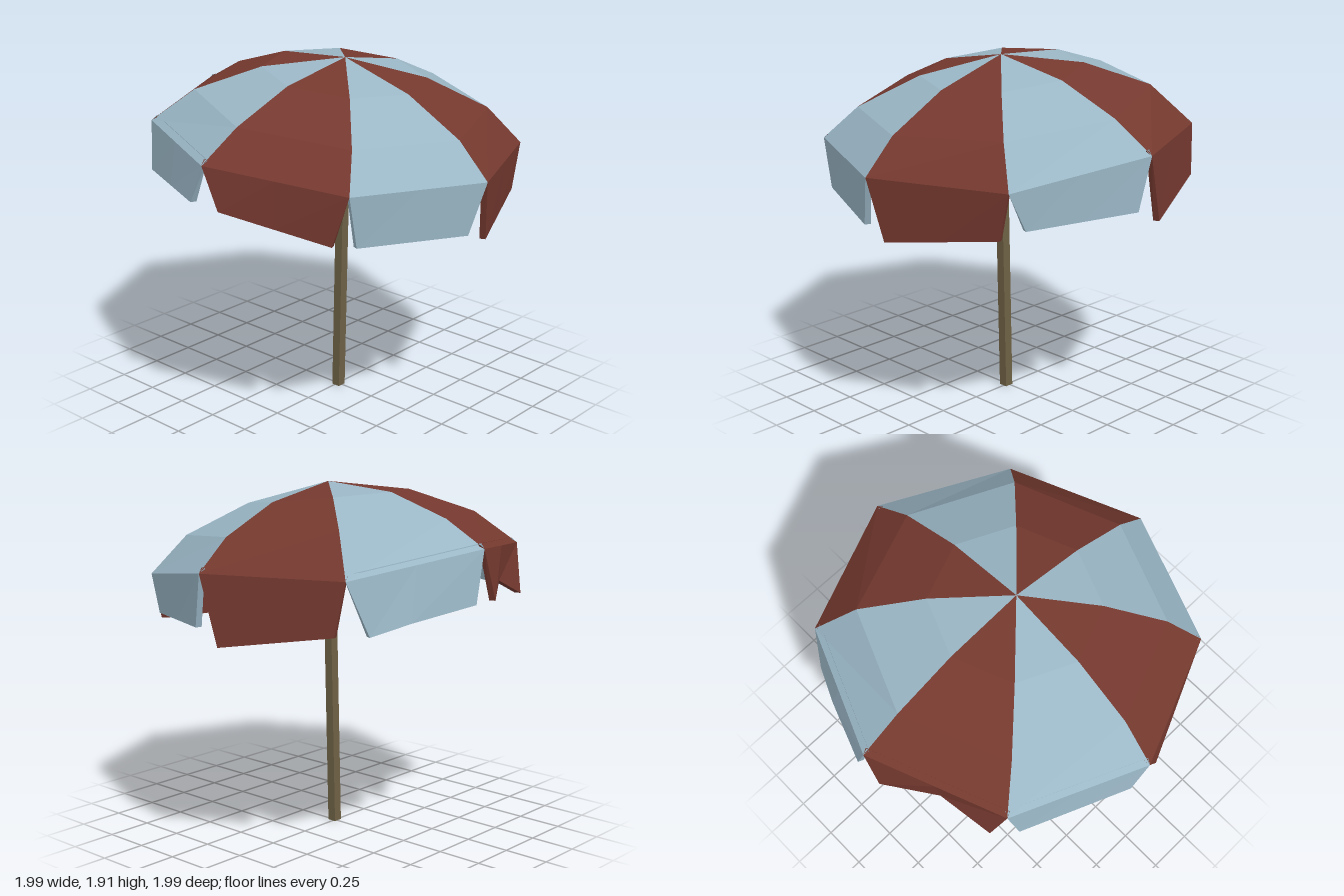
import * as THREE from 'three';

const V = (x, y, z) => new THREE.Vector3(x, y, z);

// Flat-shaded geometry from a list of quads, corners counter-clockwise from outside
function quads(list) {
  const pos = [];
  for (const [a, b, c, d] of list)
    for (const p of [a, b, c, a, c, d]) pos.push(p.x, p.y, p.z);
  const g = new THREE.BufferGeometry();
  g.setAttribute('position', new THREE.Float32BufferAttribute(pos, 3));
  g.computeVertexNormals();
  return g;
}

export function createModel() {
  const group = new THREE.Group();
  const red = new THREE.MeshStandardMaterial({ color: 0x75392f, side: THREE.DoubleSide });
  red.name = 'brickRed';
  const blue = new THREE.MeshStandardMaterial({ color: 0x9ab6c5, side: THREE.DoubleSide });
  blue.name = 'paleBlue';
  const wood = new THREE.MeshStandardMaterial({ color: 0x6e6145 });
  wood.name = 'poleWood';

  const add = (name, geometry, material) => {
    const mesh = new THREE.Mesh(geometry, material);
    mesh.name = name;
    group.add(mesh);
  };

  // Canopy seams: apex, two tilted rings and an uneven rim
  const rimY = [1.42, 1.42, 1.53, 1.53, 1.64, 1.575, 1.53, 1.45];
  const rings = [
    { r: 0.435, y: 1.83, tilt: 0.05, z: 0.045 },
    { r: 0.78, y: 1.685, tilt: 0.085, z: 0.03 },
  ];
  const apex = V(0, 1.91, 0.05);
  const seams = rimY.map((y, i) => {
    const a = (i * Math.PI) / 4, s = Math.sin(a), c = Math.cos(a);
    return [apex, ...rings.map((k) => V(k.r * s, k.y - k.tilt * c, k.z + k.r * c)),
      V(0.995 * s, y, 0.99 * c)];
  });

  // Lower edges of the hanging flaps: start, end and an optional bent middle
  const flaps = [
    [V(0.07, 1.09, 0.94), V(0.64, 1.17, 0.7)],
    [V(0.73, 1.22, 0.61), V(0.97, 1.25, 0.06)],
    [V(0.975, 1.17, -0.1), V(0.74, 1.26, -0.66)],
    [V(0.62, 1.26, -0.78), V(0.07, 1.37, -1), V(0.42, 1.31, -0.87)],
    [V(-0.09, 1.37, -1), V(-0.65, 1.31, -0.77), V(-0.36, 1.42, -0.83)],
    [V(-0.75, 1.32, -0.66), V(-0.985, 1.32, -0.1)],
    [V(-0.98, 1.31, 0.09), V(-0.74, 1.19, 0.62)],
    [V(-0.65, 1.18, 0.7), V(-0.08, 1.15, 0.94)],
  ];

  for (let i = 0; i < 8; i++) {
    const L = seams[i], R = seams[(i + 1) % 8];
    const material = i % 2 ? blue : red;

    // Canopy panel
    const panel = [];
    for (let k = 0; k < 3; k++) panel.push([L[k + 1], R[k + 1], R[k], L[k]]);
    add('canopyPanel' + (i + 1), quads(panel), material);

    // Flap: a thin slab hanging from the rim
    const a = ((i + 0.5) * Math.PI) / 4;
    const inward = V(-Math.sin(a), 0, -Math.cos(a)).multiplyScalar(0.032);
    const [start, end, bend] = flaps[i];
    const low = [start, bend || start.clone().lerp(end, 0.5), end];
    const top = [L[3], L[3].clone().lerp(R[3], 0.5), R[3]];
    const lowIn = low.map((p) => p.clone().add(inward));
    const topIn = top.map((p) => p.clone().add(inward).add(V(0, 0.025, 0)));
    const slab = [
      [lowIn[0], low[0], top[0], topIn[0]],
      [low[2], lowIn[2], topIn[2], top[2]],
    ];
    for (let k = 0; k < 2; k++) {
      slab.push([low[k], low[k + 1], top[k + 1], top[k]]);
      slab.push([lowIn[k + 1], lowIn[k], topIn[k], topIn[k + 1]]);
      slab.push([lowIn[k], lowIn[k + 1], low[k + 1], low[k]]);
    }
    add('flap' + (i + 1), quads(slab), material);
  }

  // Pole: square post leaning slightly forward, level at the foot
  const pole = new THREE.BoxGeometry(0.05, 1.87, 0.05).translate(-0.005, 0.935, 0.008);
  const p = pole.attributes.position;
  for (let i = 0; i < p.count; i++) p.setZ(i, p.getZ(i) + p.getY(i) * 0.025);
  pole.computeVertexNormals();
  add('pole', pole, wood);

  return group;
}
